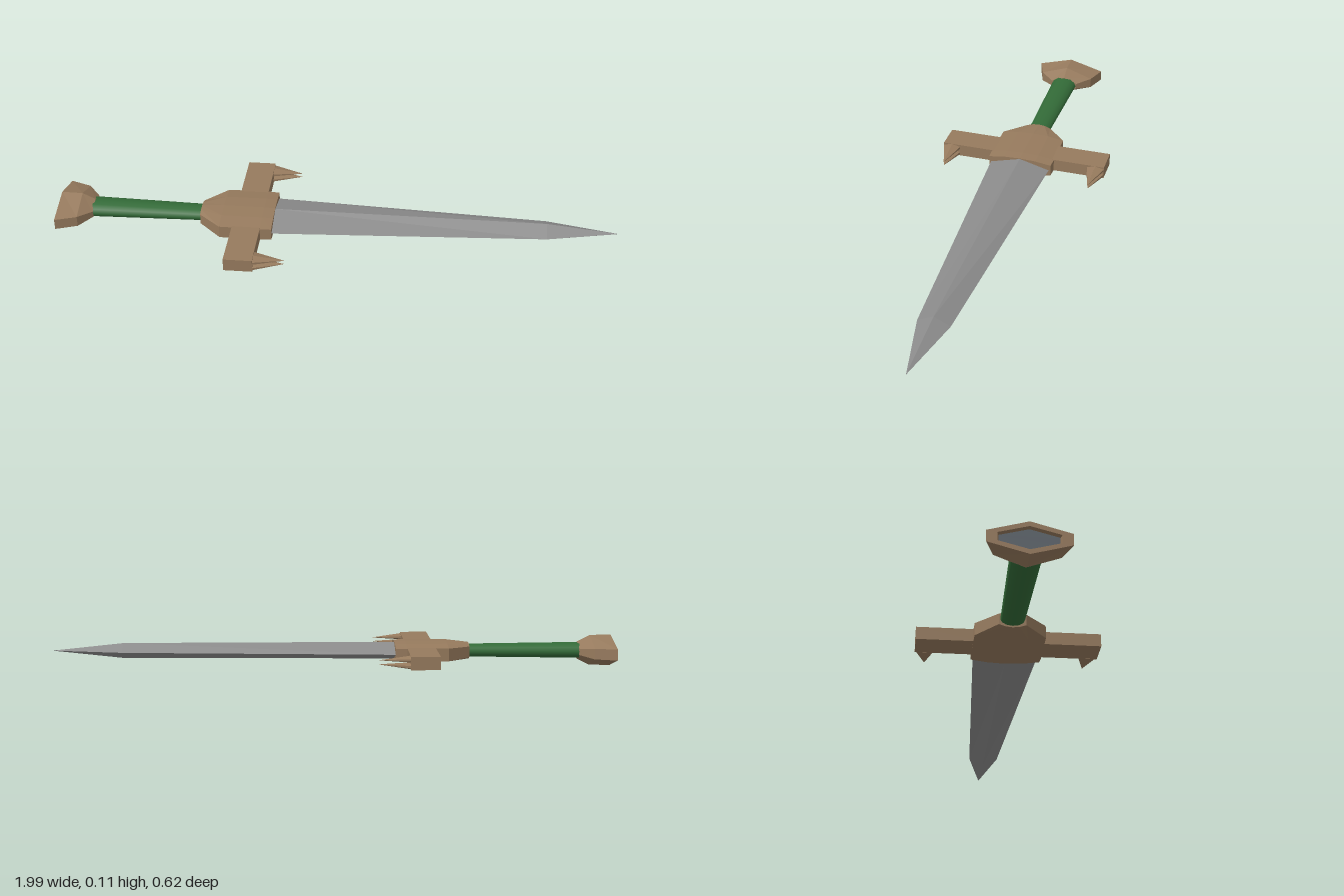
import * as THREE from 'three';

const material = (name, color) => {
  const m = new THREE.MeshStandardMaterial({ color, flatShading: true });
  m.name = name;
  return m;
};

// Skins a unit outline [z, y] through sections [x, halfWidth, halfHeight, zOffset, yOffset].
function loft(outline, sections) {
  const n = outline.length, verts = [];
  const rings = sections.map(([x, w, h, dz = 0, dy = 0]) =>
    outline.map(([z, y]) => [x, y * h + dy, z * w + dz]));
  const tri = (...corners) => corners.forEach(p => verts.push(...p));
  for (let s = 0; s < rings.length - 1; s++) {
    const a = rings[s], b = rings[s + 1];
    for (let i = 0; i < n; i++) {
      const j = (i + 1) % n;
      tri(a[i], a[j], b[j]);
      tri(a[i], b[j], b[i]);
    }
  }
  const first = rings[0], last = rings[rings.length - 1];
  for (let i = 1; i < n - 1; i++) {
    tri(first[0], first[i + 1], first[i]);
    tri(last[0], last[i], last[i + 1]);
  }
  const g = new THREE.BufferGeometry();
  g.setAttribute('position', new THREE.Float32BufferAttribute(verts, 3));
  g.computeVertexNormals();
  return g;
}

const DIAMOND = [[-1, 0], [0, 1], [1, 0], [0, -1]];
const LOZENGE = [[-1, 0.35], [0, 1], [1, 0.35], [1, -0.35], [0, -1], [-1, -0.35]];
const PLATE = [[-1, 0.66], [-0.5, 0.92], [0, 1], [0.5, 0.92], [1, 0.66],
  [1, -0.66], [0.5, -0.92], [0, -1], [-0.5, -0.92], [-1, -0.66]];

export function createModel() {
  const steel = material('steel', 0x8c8c8c);
  const bronze = material('bronze', 0x967a5d);
  const leather = material('green grip', 0x336b38);
  leather.flatShading = false;
  const inlay = material('dark inlay', 0x5c636a);

  const group = new THREE.Group();
  group.name = 'dagger';
  const add = (name, geometry, mat, parent = group) => {
    const mesh = new THREE.Mesh(geometry, mat);
    mesh.name = name;
    parent.add(mesh);
    return mesh;
  };

  // Tapering diamond-section blade
  add('blade', loft(DIAMOND, [
    [-0.24, 0.112, 0.03], [0.74, 0.056, 0.027], [0.99, 0.0005, 0.0005]]), steel);

  // Guard body
  add('guardBody', loft(PLATE, [
    [-0.49, 0.045, 0.029], [-0.41, 0.118, 0.034],
    [-0.265, 0.12, 0.034], [-0.225, 0.118, 0.032]]), bronze);

  // Mirrored guard arms, each with a split fang pointing along the blade
  for (const side of [1, -1]) {
    const arm = new THREE.Group();
    arm.name = side > 0 ? 'frontGuardArm' : 'backGuardArm';
    arm.scale.z = side;
    group.add(arm);
    const bar = new THREE.BoxGeometry(0.1, 0.045, 0.21);
    bar.translate(-0.315, 0.001, 0.205);
    add('armBar', bar, bronze, arm);
    for (const up of [1, -1]) {
      add(up > 0 ? 'upperFang' : 'lowerFang', loft(LOZENGE, [
        [-0.268, 0.0325, 0.012, 0.2775, up * 0.0115],
        [-0.16, 0.0005, 0.0005, 0.275, up * 0.007]]), bronze, arm);
    }
  }

  // Oval grip
  const grip = new THREE.CylinderGeometry(0.05, 0.04, 0.44, 12);
  grip.rotateZ(Math.PI / 2);
  grip.scale(1, 0.58, 1);
  grip.translate(-0.69, 0, 0);
  add('grip', grip, leather);

  // Flared pommel with a recessed end
  add('pommel', loft(LOZENGE, [
    [-0.98, 0.09, 0.037], [-1, 0.095, 0.039], [-1, 0.128, 0.055],
    [-0.925, 0.102, 0.054], [-0.88, 0.052, 0.031]]), bronze);
  add('pommelInlay', loft(LOZENGE, [
    [-0.985, 0.091, 0.0373], [-0.978, 0.088, 0.036]]), inlay);

  group.position.y = 0.055;
  const root = new THREE.Group();
  root.name = 'model';
  root.add(group);
  return root;
}
